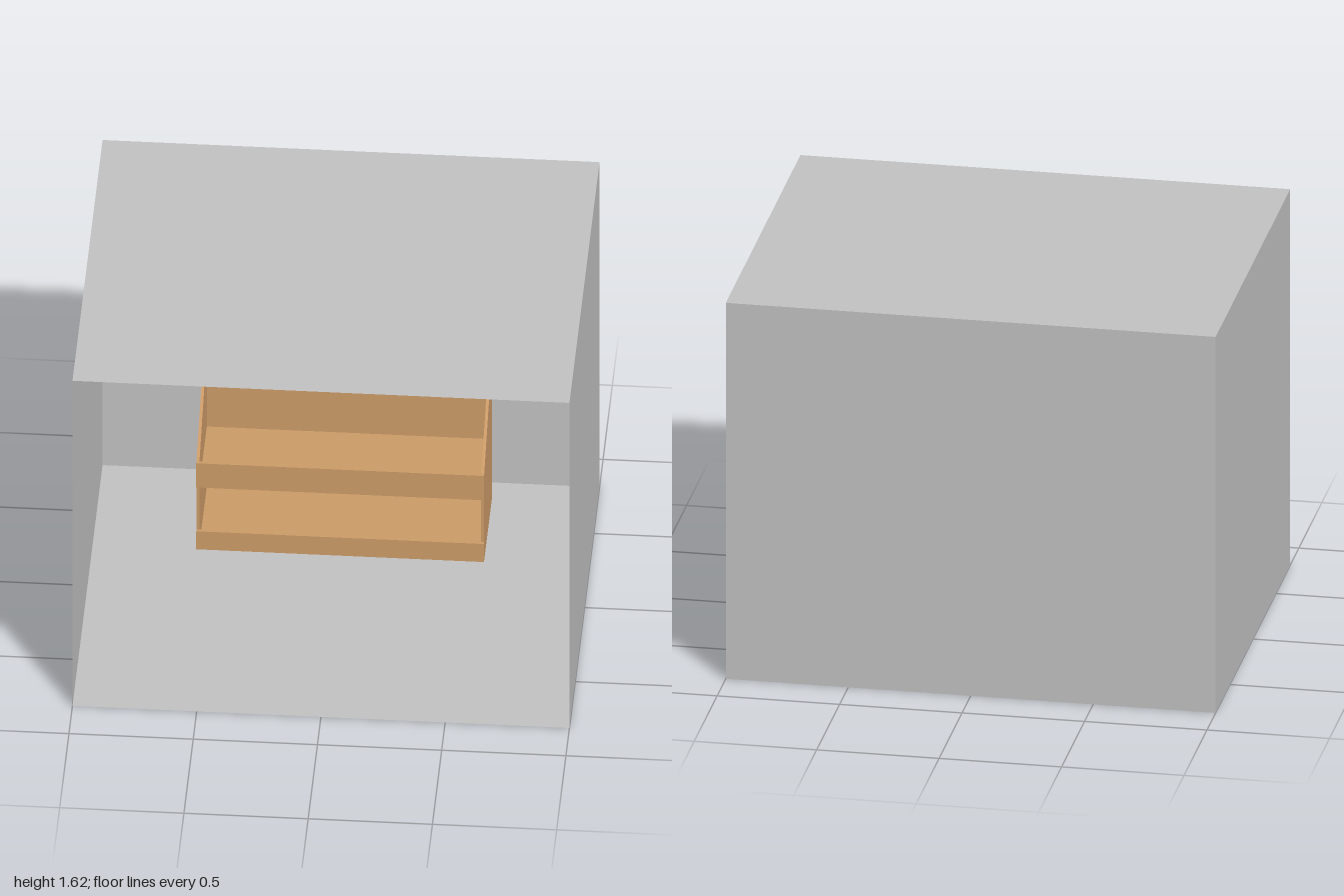
import * as THREE from 'three';

const flat = (name, color, side = THREE.FrontSide) => {
  const m = new THREE.MeshStandardMaterial({ color, side });
  m.name = name;
  return m;
};

export function createModel() {
  const grey = flat('wall grey', 0xc0c0c0, THREE.DoubleSide);
  const wood = flat('light wood', 0xca9a67);
  const taupe = flat('taupe wood', 0xa39583);

  const model = new THREE.Group();
  model.name = 'roomWithShelves';

  const group = (name) => {
    const g = new THREE.Group();
    g.name = name;
    model.add(g);
    return g;
  };
  // Box given by its lower and upper limits on each axis
  const board = (parent, name, mat, [x0, x1], [y0, y1], [z0, z1]) => {
    const m = new THREE.Mesh(new THREE.BoxGeometry(x1 - x0, y1 - y0, z1 - z0), mat);
    m.position.set((x0 + x1) / 2, (y0 + y1) / 2, (z0 + z1) / 2);
    m.name = name;
    parent.add(m);
  };

  // Room shell: five thin sheets, open at the front
  const W = 2, H = 1.625, D = 1.625;
  const room = group('room');
  const sheet = (name, w, h, pos, rx, ry) => {
    const m = new THREE.Mesh(new THREE.PlaneGeometry(w, h), grey);
    m.position.set(...pos);
    m.rotation.set(rx, ry, 0);
    m.name = name;
    room.add(m);
  };
  sheet('floor', W, D, [0, 0, 0], -Math.PI / 2, 0);
  sheet('ceiling', W, D, [0, H, 0], Math.PI / 2, 0);
  sheet('backWall', W, H, [0, H / 2, -D / 2], 0, 0);
  sheet('leftWall', D, H, [W / 2, H / 2, 0], 0, -Math.PI / 2);
  sheet('rightWall', D, H, [-W / 2, H / 2, 0], 0, Math.PI / 2);

  // Display bin standing on the floor
  const bin = group('displayBin');
  const x0 = -0.582, x1 = 0.576, t = 0.012;
  const zBack = -0.685, zFront = -0.262;
  const inner = [x0 + t, x1 - t];
  const depth = [zBack + t, zFront - t];

  // Side panels with a sloping upper front edge
  const profile = new THREE.Shape([
    [-zFront - t, 0.01], [-zBack, 0.01], [-zBack, 0.62], [0.54, 0.62], [-zFront - t + 0.024, 0.44], [-zFront - t, 0.44],
  ].map(([u, v]) => new THREE.Vector2(u + (u < 0.3 ? 2 * t : 0) - (u < 0.3 ? u + 2 * t + zFront - t : 0), v)));
  const sideGeo = new THREE.ExtrudeGeometry(profile, { depth: t, bevelEnabled: false }).rotateY(Math.PI / 2);
  for (const [name, x] of [['rightSide', x0], ['leftSide', x1 - t]]) {
    const side = new THREE.Mesh(sideGeo, wood);
    side.position.x = x;
    side.name = name;
    bin.add(side);
  }
  board(bin, 'backPanel', wood, inner, [0.01, 0.62], [zBack, zBack + t]);
  board(bin, 'bottomShelf', wood, inner, [0.01, 0.02], depth);
  board(bin, 'upperShelf', wood, inner, [0.31, 0.32], depth);
  board(bin, 'lowerFront', wood, [x0, x1], [0.01, 0.1], [zFront - t, zFront]);
  board(bin, 'upperFront', wood, [x0, x1], [0.32, 0.44], [zFront - t, zFront]);

  // Wall rack: back panel with two shelves
  const rack = group('wallRack');
  const rx = [-0.583, 0.58];
  board(rack, 'rackBack', taupe, rx, [0.775, 1.385], [-0.805, -0.785]);
  for (const y of [0.775, 1.078]) board(rack, 'rackShelf', taupe, rx, [y, y + 0.023], [-0.785, -0.627]);

  return model;
}
